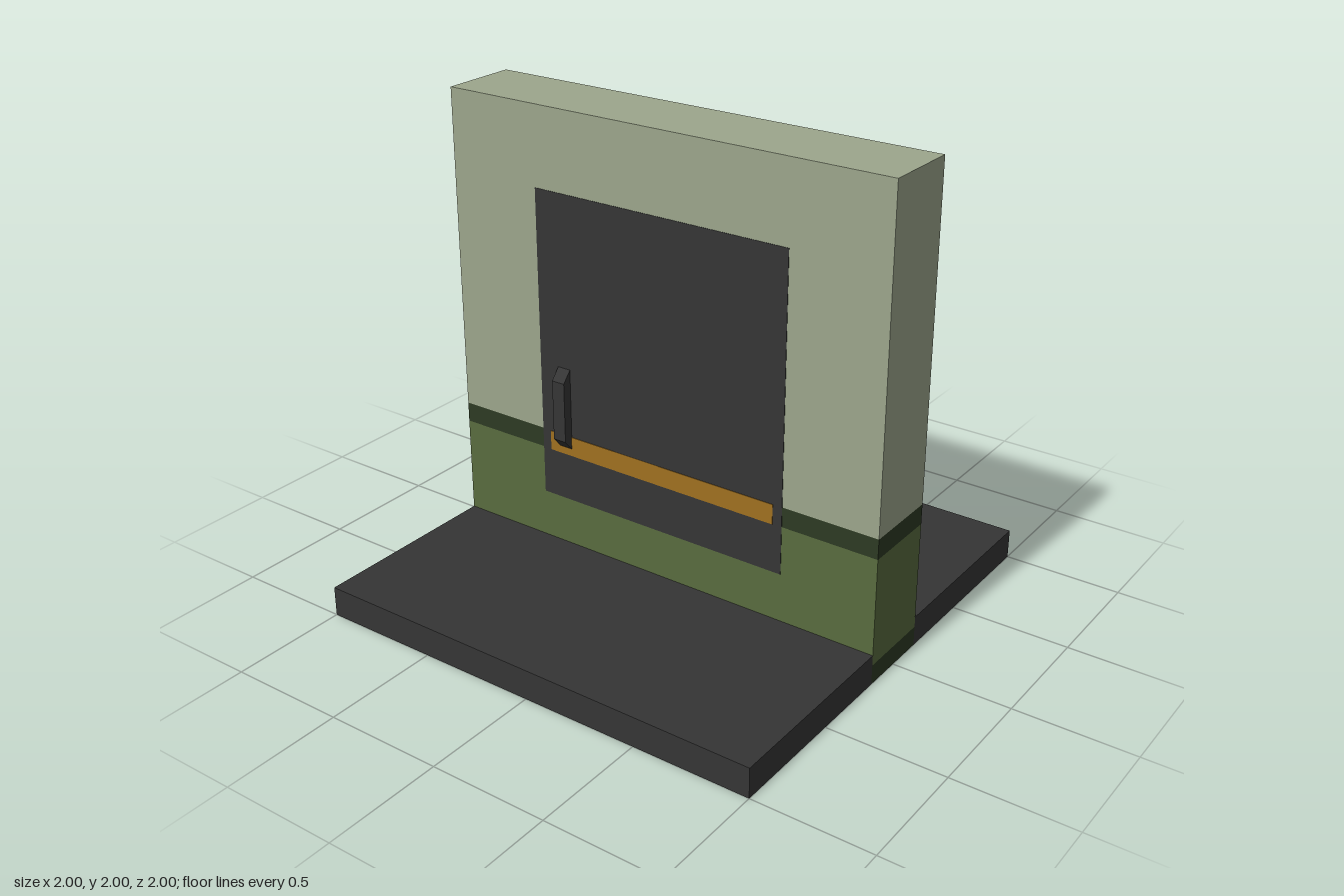
import * as THREE from 'three';

const mat = (name, color) => {
  const m = new THREE.MeshStandardMaterial({ color });
  m.name = name;
  return m;
};

export function createModel() {
  const charcoal = mat('charcoal', 0x353535);
  const sage = mat('sage', 0x9ca68c);
  const olive = mat('olive', 0x596b3f);
  const darkGreen = mat('darkGreen', 0x2d3a23);
  const amber = mat('amber', 0x9f7020);

  const model = new THREE.Group();
  model.name = 'doorway';
  const D = 0.165; // half wall depth

  // Box given by its extents
  const box = (name, material, [x0, x1], [y0, y1], [z0, z1]) => {
    const mesh = new THREE.Mesh(new THREE.BoxGeometry(x1 - x0, y1 - y0, z1 - z0), material);
    mesh.position.set((x0 + x1) / 2, (y0 + y1) / 2, (z0 + z1) / 2);
    mesh.name = name;
    model.add(mesh);
  };

  // Floor slabs on both sides of the wall
  box('frontFloor', charcoal, [-1, 1], [0, 0.127], [D, 1]);
  box('backFloor', charcoal, [-1, 1], [0, 0.127], [-1, -D]);

  // Wall in painted bands; the underside matches the floor
  const footing = [darkGreen, darkGreen, darkGreen, charcoal, darkGreen, darkGreen];
  box('wallFooting', footing, [-1, 1], [0, 0.083], [-D, D]);
  box('lowerWall', olive, [-1, 1], [0.083, 0.542], [-D, D]);
  box('wallStripe', darkGreen, [-1, 1], [0.542, 0.627], [-D, D]);
  box('upperWall', sage, [-1, 1], [0.627, 2], [-D, D]);

  // Door panel and its stripe, nearly flush on both faces
  const d = D + 0.002;
  box('door', charcoal, [-0.583, 0.583], [0.335, 1.665], [-d, d]);
  box('doorStripe', amber, [-0.542, 0.542], [0.542, 0.627], [-d - 0.002, d + 0.002]);

  // Bevelled pull handles; the back one stands out further
  const handle = (name, z0, z1, reach) => {
    const s = new THREE.Shape([
      new THREE.Vector2(z0, 0.62 - reach),
      new THREE.Vector2(z1, 0.62),
      new THREE.Vector2(z1, 0.88),
      new THREE.Vector2(z0, 0.88 + reach),
    ]);
    const g = new THREE.ExtrudeGeometry(s, { depth: 0.06, bevelEnabled: false });
    g.rotateY(-Math.PI / 2); // profile x becomes z, depth runs towards -x
    const mesh = new THREE.Mesh(g, charcoal);
    mesh.position.x = -0.433;
    mesh.name = name;
    model.add(mesh);
  };
  handle('frontHandle', D, 0.208, 0.05);
  handle('backHandle', -D, -0.229, 0.075);

  return model;
}
